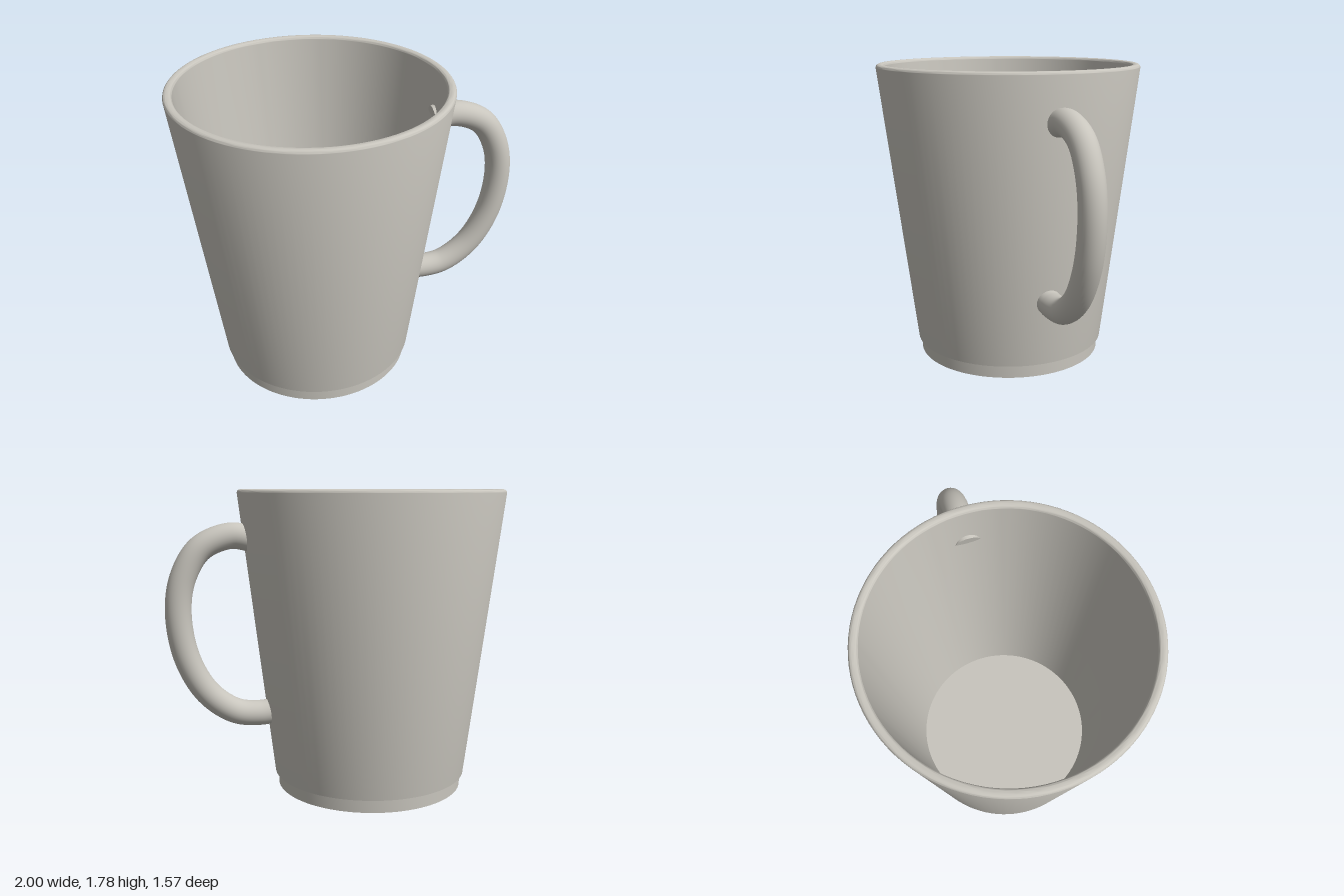
import * as THREE from 'three';
import { toCreasedNormals } from 'three/addons/utils/BufferGeometryUtils.js';

const CUP_X = -0.215;

export function createModel() {
  const model = new THREE.Group();
  const ceramic = new THREE.MeshStandardMaterial({ color: 0xc8c5bd });
  ceramic.name = 'warm grey ceramic';

  function add(parent, name, geometry) {
    const mesh = new THREE.Mesh(geometry, ceramic);
    mesh.name = name;
    parent.add(mesh);
    return mesh;
  }

  // Cup: recessed underside, foot ring, tapered wall, rounded rim, inner wall and floor
  const profile = new THREE.Path();
  profile.moveTo(0, 0.075);
  profile.lineTo(0.45, 0.075);
  profile.lineTo(0.45, 0);
  profile.lineTo(0.562, 0);
  profile.lineTo(0.562, 0.08);
  profile.lineTo(0.582, 0.08);
  profile.lineTo(0.785, 1.765);
  profile.absarc(0.765, 1.765, 0.02, 0, Math.PI / 2, false);
  profile.absarc(0.755, 1.765, 0.02, Math.PI / 2, Math.PI, false);
  profile.lineTo(0.533, 0.12);
  profile.lineTo(0, 0.12);
  const cup = new THREE.LatheGeometry(profile.getPoints(6), 96);
  add(model, 'cup', toCreasedNormals(cup, Math.PI / 6)).position.x = CUP_X;

  // Handle: round tube sunk into the wall at both ends
  const handle = new THREE.Group();
  handle.name = 'handle';
  model.add(handle);
  const path = new THREE.CatmullRomCurve3([
    [0.49, 1.505], [0.62, 1.525], [0.79, 1.457], [0.89, 1.3], [0.925, 1.1],
    [0.885, 0.83], [0.77, 0.615], [0.61, 0.495], [0.47, 0.473], [0.385, 0.48],
  ].map(([x, y]) => new THREE.Vector3(x, y, 0)));
  const radius = 0.075;
  add(handle, 'handleTube', new THREE.TubeGeometry(path, 80, radius, 32, false));

  // End caps of the tube
  for (const [name, t, sign] of [['upperHandleEnd', 0, -1], ['lowerHandleEnd', 1, 1]]) {
    const cap = add(handle, name, new THREE.CircleGeometry(radius, 32));
    const outward = path.getTangentAt(t).multiplyScalar(sign);
    cap.position.copy(path.getPointAt(t));
    cap.quaternion.setFromUnitVectors(new THREE.Vector3(0, 0, 1), outward);
  }

  return model;
}
